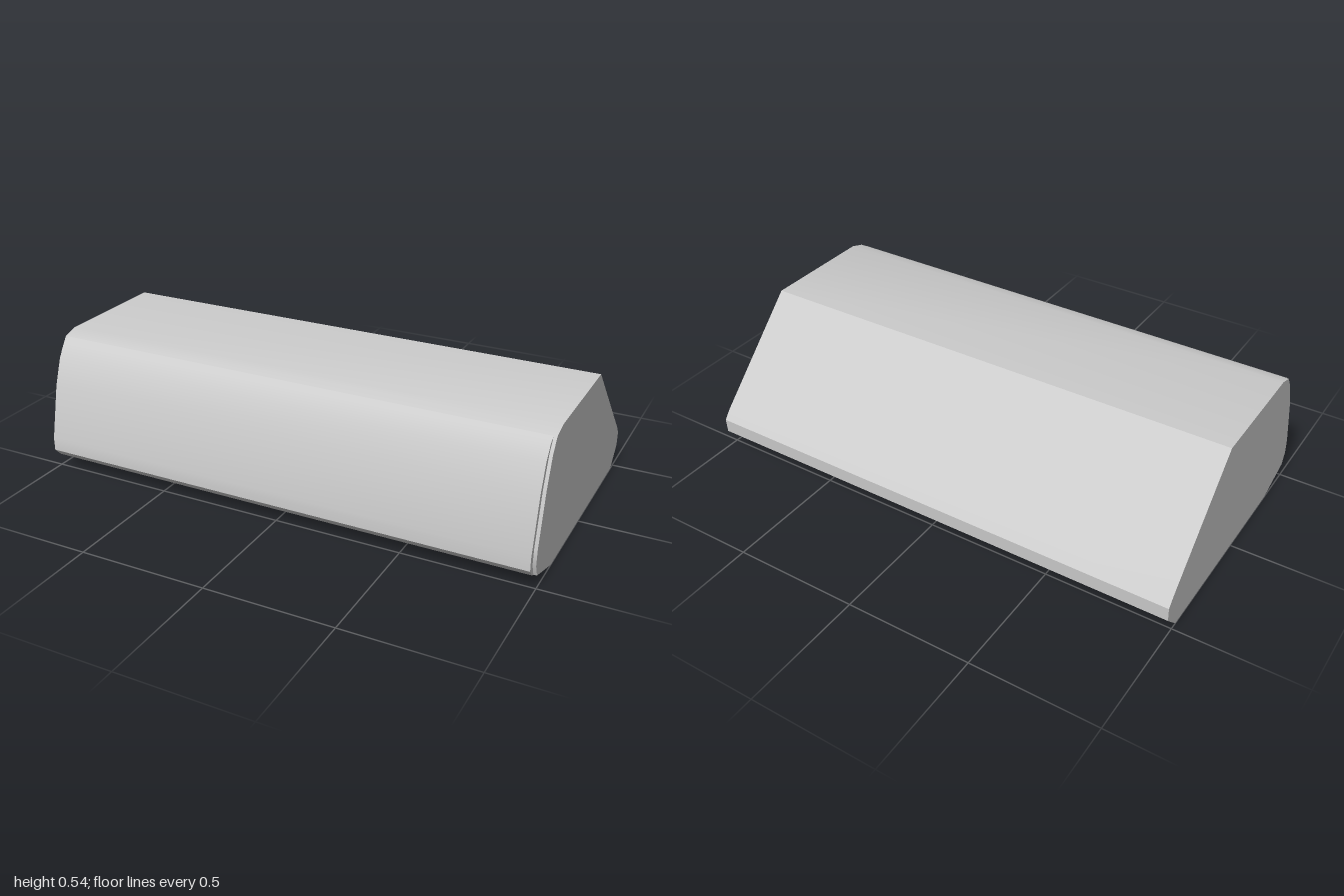
import * as THREE from 'three';
import { toCreasedNormals } from 'three/addons/utils/BufferGeometryUtils.js';

const material = new THREE.MeshStandardMaterial({ color: 0xcccccc });

// Extrudes a side profile of [z, y] points along x, centred on x = 0
function prism(name, profile, width) {
  const shape = new THREE.Shape(profile.map(([z, y]) => new THREE.Vector2(-z, y)));
  const geometry = new THREE.ExtrudeGeometry(shape, { depth: width, bevelEnabled: false });
  geometry.translate(0, 0, -width / 2);
  geometry.rotateY(Math.PI / 2);
  const mesh = new THREE.Mesh(toCreasedNormals(geometry, 0.6), material);
  mesh.name = name;
  return mesh;
}

export function createModel() {
  const group = new THREE.Group();
  group.name = 'wedgeHousing';

  // Full-width body: flat base, sloped back with a blunt nose, curved front
  group.add(prism('body', [
    [0.335, 0], [0.5, 0.052], [0.52, 0.1], [0.517, 0.16], [0.47, 0.36],
    [0.43, 0.47], [0.395, 0.522], [0.335, 0.54], [-0.135, 0.54],
    [-0.515, 0.165], [-0.543, 0.13], [-0.54, 0.072], [-0.47, 0],
  ], 2));

  // Slightly narrower raised cover on the curved front
  group.add(prism('frontCover', [
    [0.5, 0.052], [0.513, 0.056], [0.543, 0.088], [0.543, 0.14], [0.495, 0.35],
    [0.457, 0.455], [0.42, 0.507], [0.395, 0.522],
    [0.41, 0.46], [0.45, 0.35], [0.497, 0.15], [0.5, 0.1],
  ], 1.975));

  return group;
}
